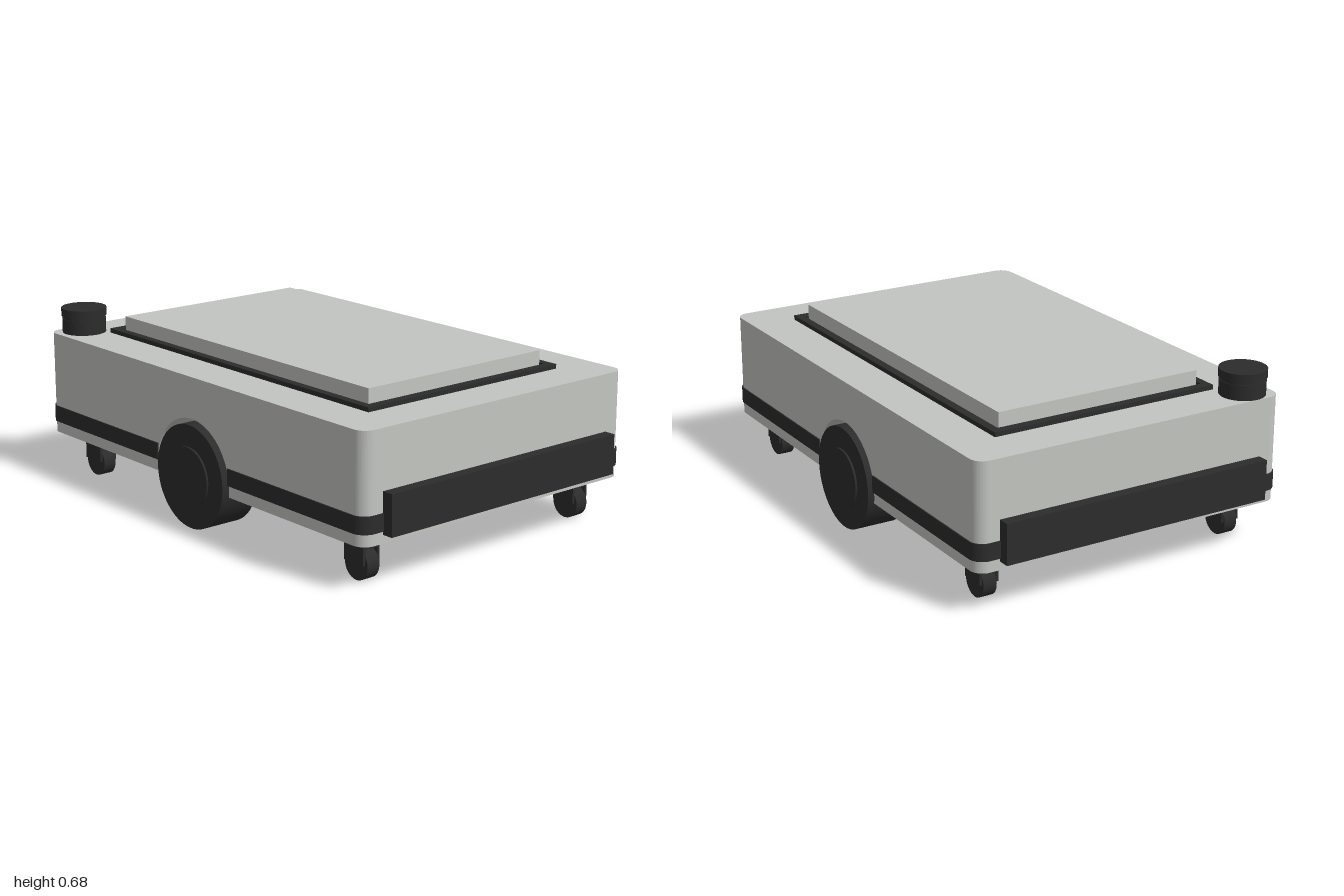
import * as THREE from 'three';

const shell = new THREE.MeshStandardMaterial({ color: 0xc3c5c1 });
shell.name = 'light grey shell';
const dark = new THREE.MeshStandardMaterial({ color: 0x2c2c2c });
dark.name = 'dark rubber';

const HALF_X = 0.955, HALF_Z = 0.645, WELL_Z = 0.48, AXLE_Y = 0.2, ARCH_R = 0.22;

function add(parent, name, geometry, material, x = 0, y = 0, z = 0) {
  const mesh = new THREE.Mesh(geometry, material);
  mesh.name = name;
  mesh.position.set(x, y, z);
  parent.add(mesh);
  return mesh;
}

// Rounded rectangle in plan, optionally notched at the middle of both long sides
function planShape(hx, hz, r, notchX = 0, notchZ = 0) {
  const s = new THREE.Shape();
  s.moveTo(-hx + r, -hz);
  if (notchX) {
    s.lineTo(-notchX, -hz);
    s.lineTo(-notchX, -notchZ);
    s.lineTo(notchX, -notchZ);
    s.lineTo(notchX, -hz);
  }
  s.lineTo(hx - r, -hz);
  s.absarc(hx - r, -hz + r, r, -Math.PI / 2, 0, false);
  s.lineTo(hx, hz - r);
  s.absarc(hx - r, hz - r, r, 0, Math.PI / 2, false);
  if (notchX) {
    s.lineTo(notchX, hz);
    s.lineTo(notchX, notchZ);
    s.lineTo(-notchX, notchZ);
    s.lineTo(-notchX, hz);
  }
  s.lineTo(-hx + r, hz);
  s.absarc(-hx + r, hz - r, r, Math.PI / 2, Math.PI, false);
  s.lineTo(-hx, -hz + r);
  s.absarc(-hx + r, -hz + r, r, Math.PI, Math.PI * 1.5, false);
  return s;
}

// Extrude a plan shape upward from y0 to y1
function slab(shape, y0, y1) {
  const g = new THREE.ExtrudeGeometry(shape, { depth: y1 - y0, bevelEnabled: false, curveSegments: 8 });
  return g.rotateX(-Math.PI / 2).translate(0, y0, 0);
}

// Cylinder lying along z between z0 and z1
function axle(r, z0, z1, segments = 48) {
  return new THREE.CylinderGeometry(r, r, z1 - z0, segments).rotateX(Math.PI / 2).translate(0, 0, (z0 + z1) / 2);
}

function makeCaster(x, z) {
  const caster = new THREE.Group();
  caster.name = 'caster';
  caster.position.set(x, 0, z);
  add(caster, 'casterPlate', new THREE.BoxGeometry(0.12, 0.025, 0.12), dark, 0, 0.158, 0);
  add(caster, 'casterSwivel', new THREE.CylinderGeometry(0.045, 0.045, 0.02, 24), dark, 0, 0.138, 0);
  add(caster, 'forkTop', new THREE.BoxGeometry(0.1, 0.012, 0.076), dark, 0.015, 0.129, 0);
  for (const side of [-1, 1]) {
    add(caster, 'forkArm', new THREE.BoxGeometry(0.1, 0.065, 0.01), dark, 0.015, 0.0975, side * 0.033);
  }
  add(caster, 'casterWheel', axle(0.06, -0.027, 0.027, 32), dark, 0.017, 0.06, 0);
  return caster;
}

function makeDriveWheel() {
  const wheel = new THREE.Group();
  wheel.name = 'driveWheel';
  add(wheel, 'tyre', axle(0.2, 0.5, 0.66, 64), dark);
  add(wheel, 'hubCap', axle(0.115, 0.66, 0.668), dark);
  add(wheel, 'motor', axle(0.1, 0.43, 0.5), dark);
  wheel.position.y = AXLE_Y;
  return wheel;
}

export function createModel() {
  const model = new THREE.Group();
  model.name = 'mobileRobotBase';

  // Shell: lower tier is notched for the wheels, upper tier is whole
  add(model, 'lowerShell', slab(planShape(HALF_X, HALF_Z, 0.05, ARCH_R, WELL_Z), 0.17, 0.43), shell);
  add(model, 'upperShell', slab(planShape(HALF_X, HALF_Z, 0.05), 0.43, 0.58), shell);

  // Round wheel arches fill the notches
  const arch = new THREE.Shape();
  const a = Math.asin((0.17 - AXLE_Y) / ARCH_R);
  arch.moveTo(-ARCH_R, 0.17);
  arch.lineTo(-ARCH_R, 0.43);
  arch.lineTo(ARCH_R, 0.43);
  arch.lineTo(ARCH_R, 0.17);
  arch.absarc(0, AXLE_Y, ARCH_R, a, Math.PI - a, false);
  for (const z of [WELL_Z, -HALF_Z]) {
    add(model, 'wheelArch', new THREE.ExtrudeGeometry(arch, {
      depth: HALF_Z - WELL_Z, bevelEnabled: false, curveSegments: 40,
    }), shell, 0, 0, z);
  }

  // Band around the shell, broken at the wheels
  add(model, 'sideBand', slab(planShape(HALF_X + 0.005, HALF_Z + 0.005, 0.055, 0.215, 0.46), 0.215, 0.28), dark);

  // Bumpers at both ends
  for (const side of [-1, 1]) {
    add(model, 'bumper', new THREE.BoxGeometry(0.05, 0.155, 1.11), dark, side * 0.975, 0.28, 0);
  }

  // Deck frame and raised load plate
  const frame = planShape(0.78, 0.468, 0.003);
  frame.holes.push(new THREE.Path(planShape(0.745, 0.436, 0.003).getPoints(3).reverse()));
  add(model, 'deckFrame', slab(frame, 0.578, 0.597), dark);
  add(model, 'loadPlate', new THREE.BoxGeometry(1.464, 0.07, 0.85), shell, 0, 0.613, 0);

  // Scanner turret on the front right corner
  const turret = new THREE.Group();
  turret.name = 'scanner';
  turret.position.set(-0.867, 0, 0.533);
  model.add(turret);
  for (const [name, r, y0, y1] of [['scannerBase', 0.087, 0.575, 0.638], ['scannerWindow', 0.084, 0.638, 0.648], ['scannerCap', 0.09, 0.648, 0.68]]) {
    add(turret, name, new THREE.CylinderGeometry(r, r, y1 - y0, 40), dark, 0, (y0 + y1) / 2, 0);
  }

  // Drive wheels, one on each long side
  const front = makeDriveWheel();
  const back = makeDriveWheel();
  back.rotation.y = Math.PI;
  model.add(front, back);

  // Four swivel casters
  for (const x of [-0.8, 0.8]) {
    for (const z of [-0.526, 0.526]) model.add(makeCaster(x, z));
  }
  return model;
}
